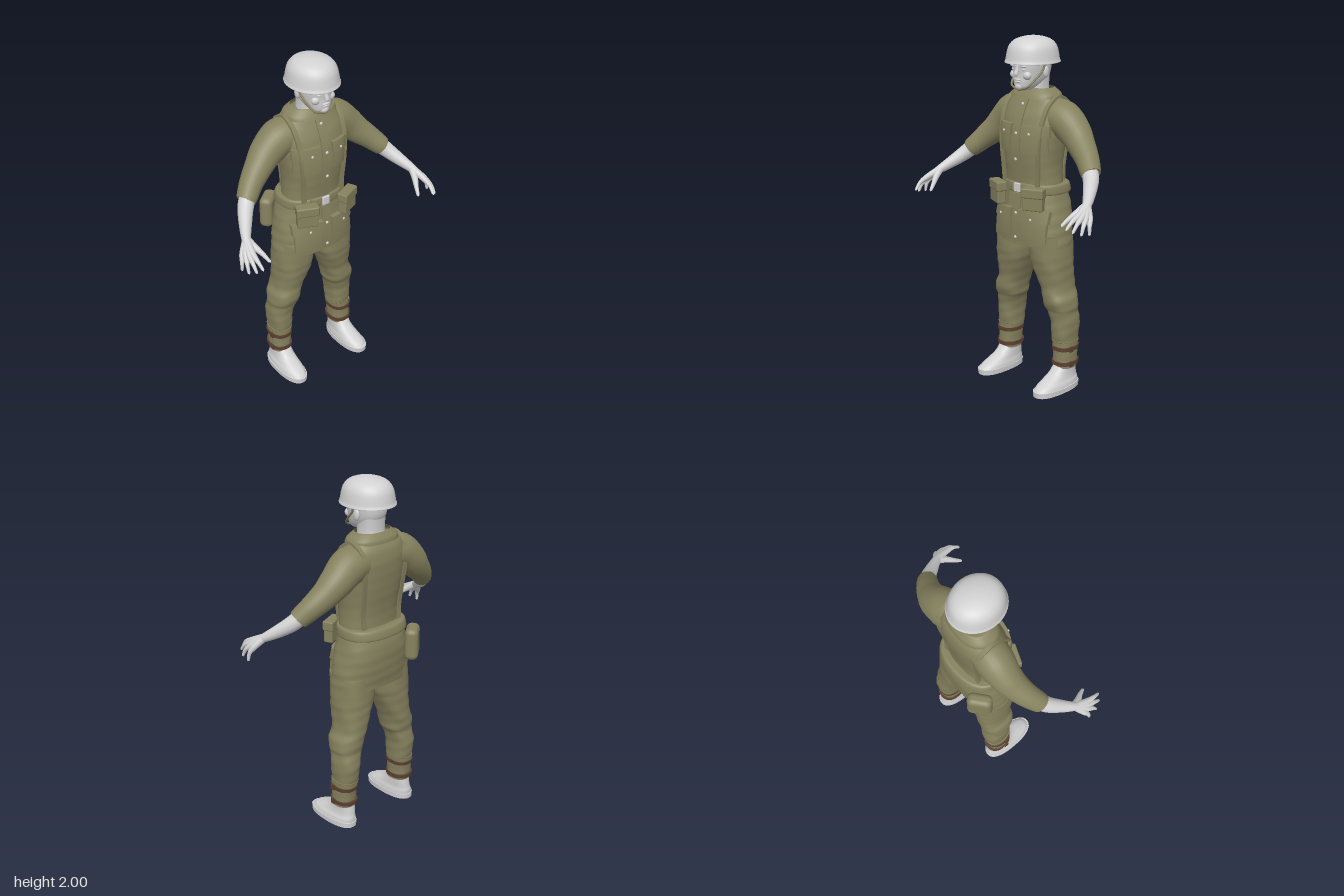
import * as THREE from 'three';
import { RoundedBoxGeometry } from 'three/addons/geometries/RoundedBoxGeometry.js';

const material = (name, color, side = THREE.FrontSide) => {
  const m = new THREE.MeshStandardMaterial({ color, side });
  m.name = name;
  return m;
};
const POWER = 0.84; // below 1 squares off the oval cross-sections

// Smoothly resample sections of [y, centreX, halfWidth, frontZ, backZ]
function smooth(list, steps = 5) {
  const out = [];
  for (let i = 0; i < list.length - 1; i++) {
    const p = [list[Math.max(i - 1, 0)], list[i], list[i + 1], list[Math.min(i + 2, list.length - 1)]];
    for (let k = 0; k < steps; k++) {
      const t = k / steps;
      out.push(p[1].map((b, j) => {
        const a = p[0][j], c = p[2][j], d = p[3][j];
        return b + 0.5 * t * (c - a + t * (2 * a - 5 * b + 4 * c - d + t * (3 * (b - c) + d - a)));
      }));
    }
  }
  out.push(list[list.length - 1]);
  return out;
}

// Skin over horizontal oval sections, with optional cloth folds
function loft(list, { s = 1, fold = 0, caps = true, n = 40 } = {}) {
  const rows = smooth(list), pos = [], idx = [];
  const bend = (v) => Math.sign(v) * Math.abs(v) ** POWER;
  const ring = ([y, cx, rx, zf, zb]) => {
    for (let i = 0; i < n; i++) {
      const a = (i / n) * Math.PI * 2;
      const f = 1 + fold * (Math.sin(y * 95 + 2 * a) + Math.sin(5 * a - y * 31)) * 0.5;
      pos.push(s * cx + rx * f * bend(Math.cos(a)), y, (zf + zb) / 2 + ((zf - zb) / 2) * f * bend(Math.sin(a)));
    }
  };
  rows.forEach(ring);
  for (let r = 0; r < rows.length - 1; r++) {
    for (let i = 0; i < n; i++) {
      const b0 = r * n + i, b1 = r * n + ((i + 1) % n);
      idx.push(b0, b0 + n, b1, b0 + n, b1 + n, b1);
    }
  }
  if (caps) {
    [rows[0], rows[rows.length - 1]].forEach((row, top) => {
      const start = pos.length / 3;
      ring(row);
      pos.push(s * row[1], row[0], (row[3] + row[4]) / 2);
      for (let i = 0; i < n; i++) {
        const a = start + i, b = start + ((i + 1) % n);
        idx.push(start + n, top ? b : a, top ? a : b);
      }
    });
  }
  const g = new THREE.BufferGeometry();
  g.setAttribute('position', new THREE.Float32BufferAttribute(pos, 3));
  g.setIndex(idx);
  g.computeVertexNormals();
  return g;
}

// Depth of a lofted surface at (x, y); dir is +1 for the front, -1 for the back
function surface(list, x, y, dir = 1) {
  const rows = smooth(list);
  let i = 0;
  while (i < rows.length - 2 && rows[i + 1][0] < y) i++;
  const t = THREE.MathUtils.clamp((y - rows[i][0]) / (rows[i + 1][0] - rows[i][0]), 0, 1);
  const [, cx, rx, zf, zb] = rows[i].map((v, j) => v + (rows[i + 1][j] - v) * t);
  const c = Math.min(Math.abs(x - cx) / rx, 0.99) ** (1 / POWER);
  return (zf + zb) / 2 + dir * ((zf - zb) / 2) * Math.sqrt(1 - c * c) ** POWER;
}

// Cloth panel laid over the front of a lofted surface
function drape(list, x, y, w, h, thick) {
  const g = new RoundedBoxGeometry(w, h, thick, 4, thick * 0.45).toNonIndexed();
  const box = new THREE.BoxGeometry(w, h, thick, 8, 10, 1);
  g.dispose();
  const p = box.attributes.position;
  for (let i = 0; i < p.count; i++) {
    const px = p.getX(i) + x, py = p.getY(i) + y;
    p.setXYZ(i, px, py, surface(list, px, py) + p.getZ(i));
  }
  box.computeVertexNormals();
  return box;
}

// Round limb along points of [x, y, z, radius]
function limb(points, s = 1, n = 20, seg = 24) {
  const curve = new THREE.CatmullRomCurve3(points.map((p) => new THREE.Vector3(s * p[0], p[1], p[2])));
  const g = new THREE.TubeGeometry(curve, seg, 1, n);
  const p = g.attributes.position, v = new THREE.Vector3();
  for (let i = 0; i < p.count; i++) {
    const u = Math.floor(i / (n + 1)) / seg, c = curve.getPointAt(u);
    const k = curve.getUtoTmapping(u) * (points.length - 1), j = Math.min(Math.floor(k), points.length - 2);
    const r = points[j][3] + (points[j + 1][3] - points[j][3]) * (k - j);
    v.fromBufferAttribute(p, i).sub(c).multiplyScalar(r).add(c);
    p.setXYZ(i, v.x, v.y, v.z);
  }
  return g;
}

// Flat strap along a path, its width lying across x
function ribbon(points, width, thick) {
  const curve = new THREE.CatmullRomCurve3(points);
  const g = new THREE.BoxGeometry(width, thick, 1, 1, 1, 48);
  const p = g.attributes.position;
  for (let i = 0; i < p.count; i++) {
    const u = p.getZ(i) + 0.5, c = curve.getPointAt(u), t = curve.getTangentAt(u);
    const l = Math.hypot(t.y, t.z), o = p.getY(i);
    p.setXYZ(i, c.x + p.getX(i), c.y + (t.z / l) * -o, c.z + (t.y / l) * o);
  }
  g.computeVertexNormals();
  return g;
}

const TORSO = [[1.15, 0, .185, .035, -.21], [1.22, 0, .18, .035, -.205], [1.3, 0, .178, .045, -.21],
  [1.4, 0, .188, .052, -.225], [1.5, 0, .2, .042, -.235], [1.58, 0, .2, .02, -.237],
  [1.64, 0, .182, -.01, -.225], [1.68, 0, .145, -.03, -.2], [1.7, 0, .09, -.04, -.18]];
const SKIRT = [[.845, 0, .25, .045, -.228], [.9, 0, .245, .05, -.236], [.98, 0, .235, .05, -.246],
  [1.08, 0, .215, .042, -.25], [1.18, 0, .19, .03, -.23]];
const BELT = [[1.142, 0, .198, .034, -.248], [1.15, 0, .207, .042, -.259], [1.19, 0, .204, .042, -.25], [1.2, 0, .195, .034, -.235]];
const COLLAR = [[1.668, 0, .155, .004, -.215], [1.69, 0, .148, -.008, -.21], [1.715, 0, .117, -.028, -.19], [1.722, 0, .105, -.034, -.183]];
const LEG = [[.277, .214, .063, -.048, -.2], [.34, .215, .067, -.04, -.21], [.4, .213, .071, -.038, -.214],
  [.46, .202, .077, -.028, -.205], [.49, .196, .086, -.016, -.207], [.54, .189, .086, -.004, -.213],
  [.6, .168, .083, -.006, -.214], [.7, .147, .101, .014, -.214], [.78, .134, .114, .025, -.215], [.92, .125, .115, .03, -.215]];
const GAITER = [[.128, .222, .061, -.048, -.186], [.2, .221, .061, -.048, -.192], [.275, .218, .064, -.045, -.203], [.288, .217, .066, -.042, -.205]];
const HEAD = [[1.712, 0, .03, .028, -.05], [1.73, 0, .054, .04, -.09], [1.76, 0, .072, .044, -.15],
  [1.8, 0, .084, .043, -.176], [1.85, 0, .091, .046, -.182], [1.9, 0, .09, .04, -.18]];
const SHOE = [[.03, .226, .068, .122, -.2], [.05, .225, .064, .1, -.2], [.07, .223, .057, .06, -.195], [.1, .221, .053, -.005, -.19], [.14, .221, .052, -.05, -.183]];

export function createModel() {
  const model = new THREE.Group();
  const cloth = material('oliveCloth', 0x86825f, THREE.DoubleSide);
  const pale = material('paleGrey', 0xd2d2d2, THREE.DoubleSide);
  const leather = material('brownLeather', 0x5c4030);
  const add = (name, geometry, mat, x = 0, y = 0, z = 0) => {
    const m = new THREE.Mesh(geometry, mat);
    m.name = name;
    m.position.set(x, y, z);
    model.add(m);
    return m;
  };
  const blob = (name, mat, x, y, z, a, b, c) => add(name, new THREE.SphereGeometry(1, 16, 10), mat, x, y, z).scale.set(a, b, c);

  // Jacket
  add('jacketBody', loft(TORSO, { fold: .006 }), cloth);
  add('jacketSkirt', loft(SKIRT, { fold: .014 }), cloth);
  add('collar', loft(COLLAR, { caps: false }), cloth);
  add('belt', loft(BELT), cloth);
  add('buckle', new RoundedBoxGeometry(.046, .05, .014, 2, .004), pale, 0, 1.173, .046);
  add('upperPlacket', drape(TORSO, 0, 1.435, .054, .46, .018), cloth);
  add('lowerPlacket', drape(SKIRT, 0, 1.005, .054, .27, .022), cloth);
  for (const y of [1.635, 1.48, 1.335]) blob('button', pale, 0, y, surface(TORSO, 0, y) + .01, .009, .009, .006);
  for (const y of [1.03, .89]) blob('button', pale, 0, y, surface(SKIRT, 0, y) + .012, .009, .009, .006);
  add('hangingLoop', drape(SKIRT, -.085, 1.13, .018, .14, .05), cloth);

  // Head and helmet
  add('head', loft(HEAD), pale);
  add('neck', loft([[1.64, 0, .078, -.03, -.175], [1.72, 0, .07, -.03, -.168], [1.8, 0, .074, -.03, -.172]]), pale);
  add('nose', limb([[0, 1.85, .04, .008], [0, 1.825, .046, .011], [0, 1.802, .053, .014], [0, 1.793, .044, .006]], 1, 12), pale);
  blob('upperLip', pale, 0, 1.772, .043, .024, .006, .01);
  blob('lowerLip', pale, 0, 1.76, .042, .02, .006, .009);
  blob('chin', pale, 0, 1.733, .034, .024, .018, .014);
  const shell = [[.126, 1.868], [.134, 1.859], [.142, 1.857], [.144, 1.861], [.139, 1.875], [.134, 1.905], [.127, 1.935],
    [.115, 1.958], [.095, 1.977], [.065, 1.99], [.03, 1.998], [0, 2]].map(([r, y]) => new THREE.Vector2(r, y));
  add('helmet', new THREE.LatheGeometry(new THREE.SplineCurve(shell).getPoints(44), 48), pale, 0, 0, -.075).scale.z = 1.135;
  blob('helmetLining', pale, 0, 1.87, -.075, .127, .02, .143);

  // Canteen pouch behind the right hip
  add('hipPouch', new RoundedBoxGeometry(.14, .185, .075, 4, .03), cloth, -.195, 1.05, -.232).rotation.y = .68;

  for (const s of [1, -1]) {
    // Face sides and chin strap
    blob('ear', pale, s * .09, 1.81, -.085, .012, .032, .02);
    blob('brow', pale, s * .036, 1.845, .036, .026, .007, .012);
    blob('eye', pale, s * .036, 1.826, .033, .015, .007, .01);
    blob('cheek', pale, s * .048, 1.795, .018, .026, .024, .022);
    add('chinStrap', limb([[.098, 1.86, -.07, .006], [.094, 1.82, -.055, .006], [.083, 1.775, -.01, .006], [.06, 1.735, .026, .006], [0, 1.714, .036, .006]], s, 8), cloth);

    // Arms and hands
    add('sleeve', limb([[.1, 1.575, -.12, .1], [.19, 1.555, -.125, .104], [.27, 1.495, -.125, .09], [.33, 1.437, -.11, .077],
      [.4, 1.375, -.08, .065], [.455, 1.32, -.045, .056], [.464, 1.311, -.04, .053], [.458, 1.317, -.044, .045]], s, 28, 48), cloth);
    add('forearm', limb([[.43, 1.345, -.06, .045], [.48, 1.292, -.02, .044], [.525, 1.242, .04, .036], [.568, 1.195, .108, .025], [.585, 1.172, .145, .02]], s), pale);
    const wrist = [.568, 1.195, .11, .022];
    const fingers = [[[.62, 1.137, .146], [.64, 1.06, .17]], [[.614, 1.142, .17], [.634, 1.068, .225]],
      [[.603, 1.149, .188], [.612, 1.085, .265]], [[.588, 1.156, .198], [.584, 1.1, .283]]];
    for (const [k, t] of fingers) {
      const mid = k.map((v, i) => v + (t[i] - v) * .55 + (i === 1 ? .008 : .004));
      add('finger', limb([wrist, [...k, .017], [...mid, .011], [...t, .007], [t[0], t[1] - .003, t[2] + .003, .001]], s, 12), pale);
    }
    add('thumb', limb([wrist, [.552, 1.165, .155, .019], [.528, 1.13, .2, .013], [.511, 1.096, .238, .008], [.509, 1.093, .241, .001]], s, 12), pale);

    // Pockets
    add('breastPocket', drape(TORSO, s * .112, 1.45, .128, .15, .024), cloth);
    add('breastFlap', drape(TORSO, s * .112, 1.497, .144, .064, .038), cloth);
    blob('button', pale, s * .095, 1.485, surface(TORSO, .095, 1.485) + .02, .008, .008, .005);
    add('skirtPocket', drape(SKIRT, s * .115, .96, .155, .18, .034), cloth);
    add('skirtFlap', drape(SKIRT, s * .115, 1.022, .17, .068, .05), cloth);
    blob('button', pale, s * .115, 1.01, surface(SKIRT, .115, 1.01) + .026, .008, .008, .005);

    // Shoulder strap from belt to belt
    const path = (dir, y) => {
      const x = .125 + .028 * ((y - 1.19) / .45);
      return new THREE.Vector3(s * x, y, surface(TORSO, x, y, dir) + dir * .006);
    };
    const heights = [1.19, 1.28, 1.36, 1.44, 1.52, 1.59, 1.64];
    add('shoulderStrap', ribbon([...heights.map((y) => path(1, y)), new THREE.Vector3(s * .155, 1.682, -.115),
      ...heights.slice().reverse().map((y) => path(-1, y))], .028, .014), cloth);

    // Belt pouch with lid
    const pouch = new THREE.Group();
    pouch.name = 'beltPouch';
    pouch.position.set(s * .138, 1.133, .06);
    pouch.rotation.y = s * .4;
    for (const [y, w, h, d] of [[-.005, .118, .118, .052], [.035, .128, .055, .062]]) {
      const part = new THREE.Mesh(new RoundedBoxGeometry(w, h, d, 3, .008), cloth);
      part.name = h > .1 ? 'pouchBody' : 'pouchLid';
      part.position.y = y;
      pouch.add(part);
    }
    model.add(pouch);

    // Legs, gaiters and shoes
    add('trouserLeg', loft(LEG, { s, fold: .022 }), cloth);
    add('gaiter', loft(GAITER, { s, fold: .01 }), cloth);
    for (const y of [.155, .245]) {
      add('gaiterStrap', loft([[y - .011, .221, .067, -.041, -.2], [y + .011, .221, .067, -.041, -.202]], { s }), leather);
      add('strapBuckle', new THREE.BoxGeometry(.012, .03, .026), leather, s * .287, y, -.1);
    }
    add('shoeUpper', loft(SHOE, { s }), pale);
    add('sole', loft([[0, .227, .071, .128, -.205], [.03, .227, .072, .13, -.206]], { s }), pale);
  }
  return model;
}
